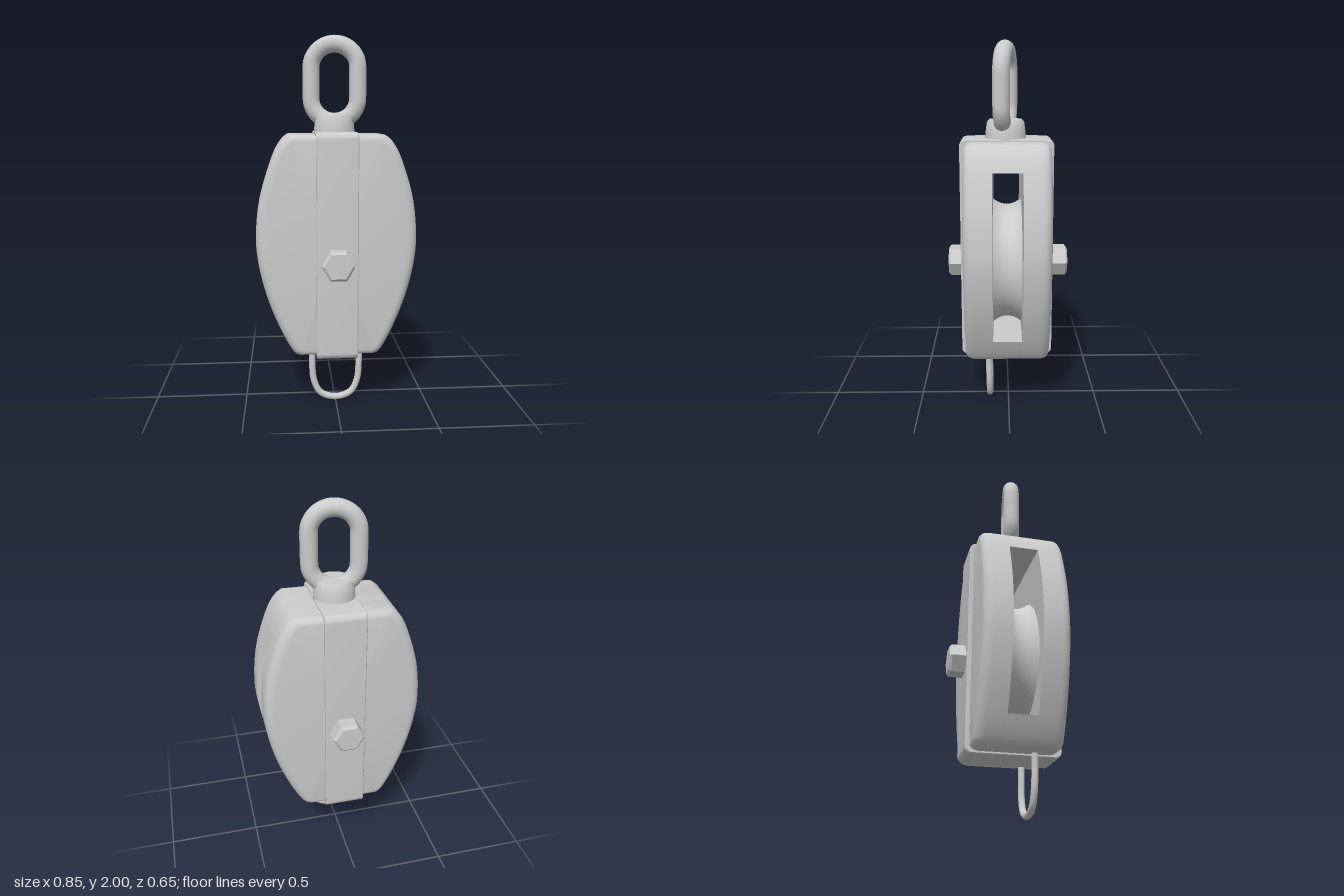
import * as THREE from 'three';
import { toCreasedNormals } from 'three/addons/utils/BufferGeometryUtils.js';

const material = new THREE.MeshStandardMaterial({ color: 0xcccccc });
const V2 = (x, y) => new THREE.Vector2(x, y);
const V3 = (x, y, z) => new THREE.Vector3(x, y, z);

const SLOT = { back: -0.07, front: 0.085, bottom: 0.44, top: 1.35 };
const AXLE_Y = 0.81;

// Right-hand edge of the barrel-shaped body, from bottom to top
const side = new THREE.SplineCurve([
  V2(0.2, 0.3), V2(0.237, 0.325), V2(0.3, 0.44), V2(0.367, 0.61), V2(0.412, 0.79), V2(0.425, 0.95),
  V2(0.404, 1.15), V2(0.343, 1.35), V2(0.292, 1.445), V2(0.25, 1.48),
]).getPoints(45);

// Closed counter-clockwise outline of the body between two heights
function outline(low, high) {
  const right = side.filter((p) => p.y > low - 1e-4 && p.y < high + 1e-4);
  const left = right.map((p) => V2(-p.x, p.y)).reverse();
  return [...right, ...left];
}

// Cheek: outline lofted from its flat inner face through a rounded outer rim
function cheekGeometry(innerZ, outerZ) {
  const ring = outline(0, 2);
  const n = ring.length;
  const dir = Math.sign(outerZ - innerZ);
  const levels = [[innerZ, 0]];
  for (let i = 0; i <= 5; i++) {
    const a = (i / 5) * Math.PI / 2;
    levels.push([outerZ - dir * 0.05 * (1 - Math.sin(a)), 0.055 * (1 - Math.cos(a))]);
  }
  const pos = [];
  const index = [];
  const face = (a, b, c) => (dir > 0 ? index.push(a, b, c) : index.push(a, c, b));
  for (const [z, inset] of levels) {
    for (const p of ring) {
      pos.push(p.x * (1 - inset / 0.425), 0.89 + (p.y - 0.89) * (1 - inset * 0.6 / 0.59), z);
    }
  }
  for (let l = 0; l < levels.length - 1; l++) {
    for (let i = 0; i < n; i++) {
      const a = l * n + i, b = l * n + (i + 1) % n;
      face(a, b, b + n);
      face(a, b + n, a + n);
    }
  }
  const last = (levels.length - 1) * n;
  const inner = pos.length / 3;
  pos.push(0, 0.89, innerZ, 0, 0.89, outerZ);
  for (let i = 0; i < n; i++) {
    const j = (i + 1) % n;
    face(inner, j, i);
    face(inner + 1, last + i, last + j);
  }
  const g = new THREE.BufferGeometry();
  g.setAttribute('position', new THREE.Float32BufferAttribute(pos, 3));
  g.setIndex(index);
  return toCreasedNormals(g, 0.6);
}

// Block closing one end of the sheave slot
function endBlockGeometry(low, high) {
  const g = new THREE.ExtrudeGeometry(new THREE.Shape(outline(low, high)), {
    depth: SLOT.front - SLOT.back, bevelEnabled: false,
  });
  return toCreasedNormals(g.translate(0, 0, SLOT.back), 0.6);
}

function roundedRect(path, x0, y0, x1, y1, r) {
  path.absarc(x1 - r, y0 + r, r, -Math.PI / 2, 0);
  path.absarc(x1 - r, y1 - r, r, 0, Math.PI / 2);
  path.absarc(x0 + r, y1 - r, r, Math.PI / 2, Math.PI);
  path.absarc(x0 + r, y0 + r, r, Math.PI, Math.PI * 1.5);
  path.closePath();
  return path;
}

// Flat strap wrapped around the middle of the body
function strapGeometry() {
  const shape = roundedRect(new THREE.Shape(), -0.26, 0.287, 0.24, 1.492, 0.035);
  shape.holes.push(roundedRect(new THREE.Path(), -0.2, 0.36, 0.18, 1.42, 0.02));
  const g = new THREE.ExtrudeGeometry(shape, {
    depth: 0.21, bevelThickness: 0.005, bevelSize: 0.005, bevelOffset: -0.005, bevelSegments: 1, curveSegments: 6,
  });
  g.translate(0, 0, -0.105).rotateY(Math.PI / 2);
  return toCreasedNormals(g, 0.6);
}

// Grooved pulley wheel
function sheaveGeometry() {
  const half = (SLOT.front - SLOT.back) / 2 - 0.002;
  const profile = [V2(0.03, -half), V2(0.342, -half)];
  for (let i = 1; i < 10; i++) {
    const t = (i / 10) * 2 - 1;
    profile.push(V2(0.312 + 0.03 * t * t, t * half));
  }
  profile.push(V2(0.342, half), V2(0.03, half));
  return toCreasedNormals(new THREE.LatheGeometry(profile, 64).rotateX(Math.PI / 2), 0.6);
}

// Hexagonal head with a chamfered end, pointing along +z
function boltGeometry(length) {
  const profile = [V2(0, 0), V2(0.088, 0), V2(0.088, length - 0.012), V2(0.074, length), V2(0, length)];
  const g = new THREE.LatheGeometry(profile, 6);
  return toCreasedNormals(g.rotateX(Math.PI / 2).rotateZ(Math.PI / 2), 0.2);
}

// Oblong ring centre line
function linkCurve() {
  const points = [];
  for (let i = 0; i < 32; i++) {
    const a = (i / 32) * Math.PI * 2;
    points.push(V3(0.126 * Math.cos(a), 1.75 + Math.sign(Math.round(Math.sin(a) * 1e6)) * 0.08 + 0.124 * Math.sin(a), 0));
  }
  return new THREE.CatmullRomCurve3(points, true);
}

export function createModel() {
  const model = new THREE.Group();
  const add = (name, geometry) => {
    const mesh = new THREE.Mesh(geometry, material);
    mesh.name = name;
    model.add(mesh);
    return mesh;
  };

  // Body shell
  add('frontCheek', cheekGeometry(SLOT.front, 0.236));
  add('backCheek', cheekGeometry(SLOT.back, -0.218));
  add('topBlock', endBlockGeometry(SLOT.top, 2));
  add('bottomBlock', endBlockGeometry(0, SLOT.bottom));
  add('strap', strapGeometry());

  // Wheel, axle and bolt heads
  add('sheave', sheaveGeometry()).position.set(0, AXLE_Y, (SLOT.front + SLOT.back) / 2);
  add('axle', new THREE.CylinderGeometry(0.04, 0.04, 0.46, 24).rotateX(Math.PI / 2)).position.set(0, AXLE_Y, 0.01);
  add('frontBolt', boltGeometry(0.08)).position.set(0, AXLE_Y, 0.25);
  const backBolt = add('backBolt', boltGeometry(0.095));
  backBolt.position.set(0, AXLE_Y, -0.23);
  backBolt.rotation.y = Math.PI;

  // Swivel neck and the turned link above it
  const neck = [V2(0, 1.47), V2(0.112, 1.47), V2(0.108, 1.52), V2(0.1, 1.575), V2(0.088, 1.59), V2(0, 1.592)];
  add('swivelNeck', toCreasedNormals(new THREE.LatheGeometry(neck, 32), 0.7)).position.z = 0.015;
  const link = add('topLink', new THREE.TubeGeometry(linkCurve(), 80, 0.046, 16, true));
  link.position.z = 0.017;
  link.rotation.y = -0.18;

  // Thin wire loop below
  const loop = new THREE.CatmullRomCurve3([
    V3(-0.132, 0.34, 0.11), V3(-0.13, 0.25, 0.11), V3(-0.121, 0.12, 0.107), V3(-0.083, 0.045, 0.106),
    V3(0, 0.018, 0.106),
    V3(0.083, 0.045, 0.106), V3(0.121, 0.12, 0.107), V3(0.13, 0.25, 0.11), V3(0.132, 0.34, 0.11),
  ]);
  add('bottomLoop', new THREE.TubeGeometry(loop, 60, 0.018, 12));

  return model;
}
